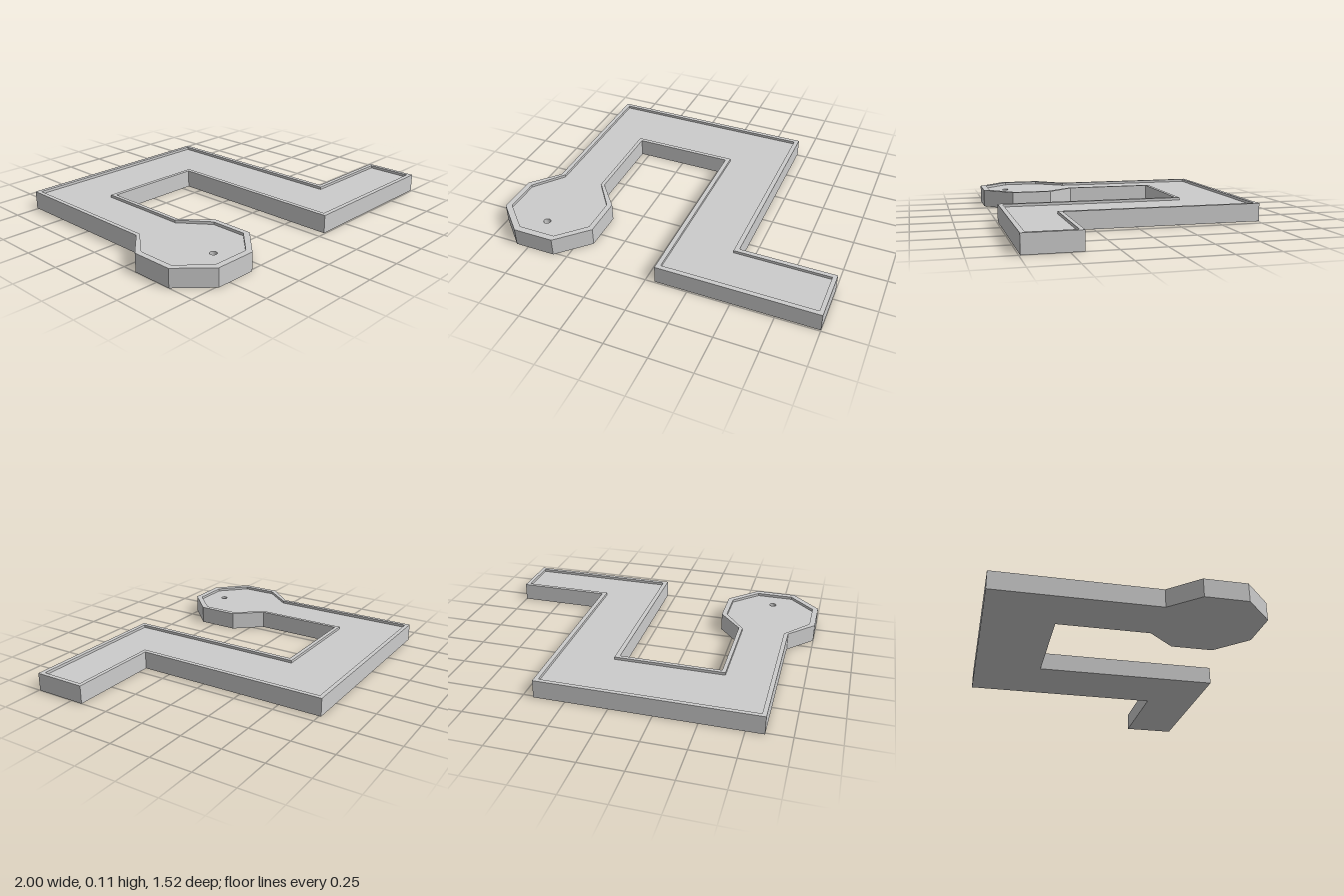
import * as THREE from 'three';

const HEIGHT = 0.108, FLOOR = 0.092, CUP_BOTTOM = 0.04;

// Plan outlines as [x, z], corner by corner in matching order
const outer = [
  [-0.853, -0.762], [0.436, -0.762], [0.436, 0.425], [1, 0.425], [1, 0.743], [0.055, 0.743],
  [0.055, -0.362], [-0.548, -0.362], [-0.548, 0.179], [-0.41, 0.341], [-0.41, 0.59],
  [-0.582, 0.762], [-0.827, 0.762], [-1, 0.59], [-1, 0.341], [-0.853, 0.179],
];
const inner = [
  [-0.828, -0.737], [0.409, -0.737], [0.409, 0.45], [0.975, 0.45], [0.975, 0.716], [0.082, 0.716],
  [0.082, -0.386], [-0.571, -0.386], [-0.571, 0.179], [-0.441, 0.352], [-0.441, 0.572],
  [-0.59, 0.724], [-0.813, 0.724], [-0.966, 0.572], [-0.966, 0.352], [-0.828, 0.179],
];

// Counter-clockwise shape points, so that the walls of holes face into the hole
const points = (outline) => outline.map(([x, z]) => new THREE.Vector2(x, -z)).reverse();

// Stands a plan shape up as a slab between two heights
function slab(name, shape, bottom, top) {
  const geometry = new THREE.ExtrudeGeometry(shape, {
    depth: top - bottom, bevelEnabled: false, curveSegments: 12,
  });
  geometry.rotateX(-Math.PI / 2);
  geometry.translate(0, bottom, 0);
  const mesh = new THREE.Mesh(geometry, new THREE.MeshStandardMaterial({ color: 0xcccccc }));
  mesh.name = name;
  return mesh;
}

export function createModel() {
  const group = new THREE.Group();
  group.name = 'miniGolfCourse';

  // Raised border around the lane
  const rim = new THREE.Shape(points(outer));
  rim.holes.push(new THREE.Path(points(inner)));
  group.add(slab('rim', rim, 0, HEIGHT));

  // Solid underside, which also closes the cup
  group.add(slab('base', new THREE.Shape(points(inner)), 0, CUP_BOTTOM));

  // Sunken playing surface with the cup cut into it
  const lane = new THREE.Shape(points(inner));
  const cup = new THREE.Path();
  cup.absarc(-0.704, -0.605, 0.021, 0, Math.PI * 2, true);
  lane.holes.push(cup);
  group.add(slab('lane', lane, CUP_BOTTOM, FLOOR));

  return group;
}
